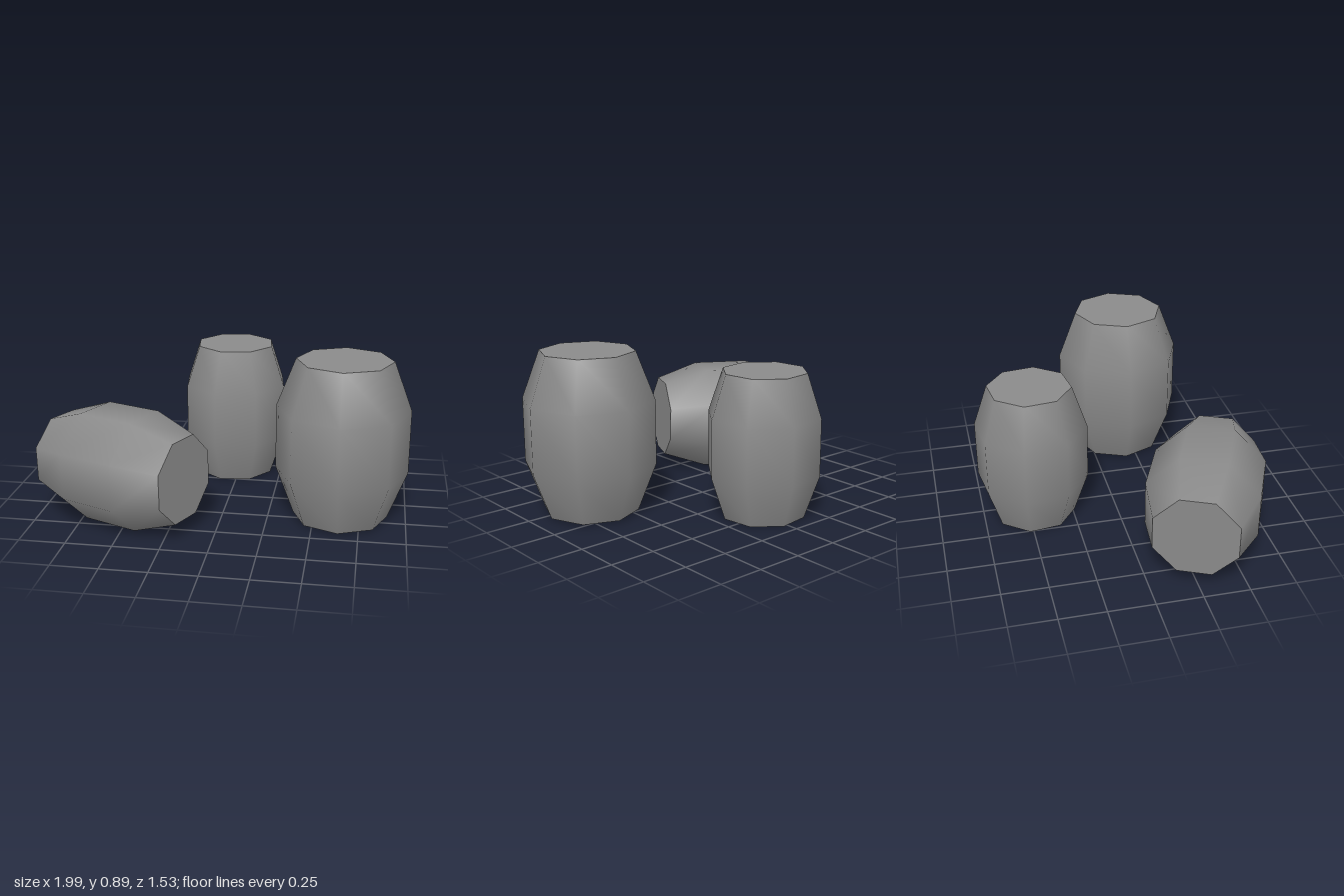
import * as THREE from 'three';

const SIDES = 8;
const STEP = (Math.PI * 2) / SIDES;
const material = new THREE.MeshStandardMaterial({ color: 0x8a8a8a, side: THREE.DoubleSide });

// One hollow barrel centred on its own origin, axis along y.
// start: angle of the first stave, staveCount: staves present, lidSides: +1 top, -1 bottom
function makeBarrel(name, { length, endRadius, bellyRadius, start, staveCount = SIDES, lidSides }) {
  const barrel = new THREE.Group();
  barrel.name = name;
  const h = length / 2;

  // Smooth bulging staves
  const profile = [
    [endRadius, -h], [bellyRadius, -h * 0.4], [bellyRadius, h * 0.4], [endRadius, h],
  ].map(([r, y]) => new THREE.Vector2(r, y));
  const staves = new THREE.Mesh(
    new THREE.LatheGeometry(profile, staveCount, start, staveCount * STEP), material);
  staves.name = 'staves';
  barrel.add(staves);

  // Flat lids with a sharp rim
  for (const side of lidSides) {
    const geometry = new THREE.CircleGeometry(endRadius, SIDES)
      .rotateX(-side * Math.PI / 2)
      .rotateY(start)
      .translate(0, side * h, 0);
    const lid = new THREE.Mesh(geometry, material);
    lid.name = side > 0 ? 'topLid' : 'bottomLid';
    barrel.add(lid);
  }
  return barrel;
}

export function createModel() {
  const model = new THREE.Group();
  model.name = 'barrels';

  // Large standing barrel, open underneath
  const large = makeBarrel('largeBarrel', {
    length: 0.88, endRadius: 0.258, bellyRadius: 0.359, start: 0, lidSides: [1],
  });
  large.position.set(0.641, 0.45, 0.184);

  // Small standing barrel at the back, open underneath
  const small = makeBarrel('smallBarrel', {
    length: 0.79, endRadius: 0.23, bellyRadius: 0.31, start: -0.258, lidSides: [1],
  });
  small.position.set(-0.033, 0.397, -0.461);

  // Barrel lying on its side, slightly tilted, without the stave it rests on
  const lying = makeBarrel('lyingBarrel', {
    length: 0.824, endRadius: 0.239, bellyRadius: 0.324,
    start: Math.PI / 2 + STEP / 2, staveCount: SIDES - 1, lidSides: [1, -1],
  });
  lying.position.set(-0.526, 0.311, 0.394);
  lying.rotation.set(0, -0.424, -Math.PI / 2 + 0.02);

  model.add(large, small, lying);
  return model;
}
